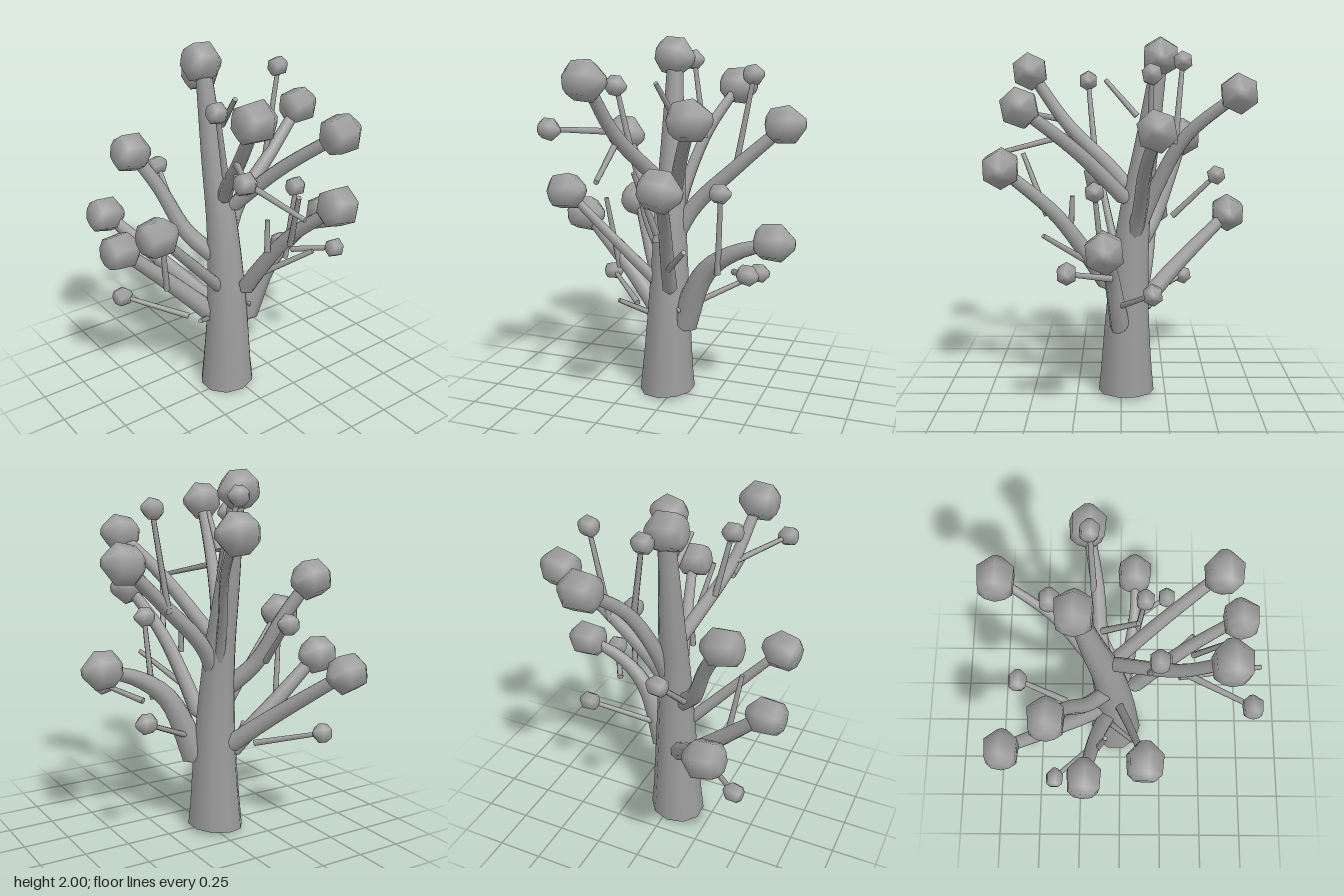
import * as THREE from 'three';

const V = (p) => new THREE.Vector3(...p);
const UP = new THREE.Vector3(0, 1, 0);

// Tapered tube through points. The base can close to a tip, and the section
// can be narrowed sideways (flat < 1).
function limbGeometry(points, r0, r1, { sides = 8, segs = 14, closedBase = true, power = 1, flat = 0.9 } = {}) {
  const curve = new THREE.CatmullRomCurve3(points.map(V));
  const geo = new THREE.TubeGeometry(curve, segs, 1, sides, false);
  const pos = geo.attributes.position;
  const side = V(points[points.length - 1]).sub(V(points[0])).cross(UP).normalize();
  const v = new THREE.Vector3();
  for (let i = 0; i <= segs; i++) {
    const t = i / segs;
    const c = curve.getPointAt(t);
    const r = closedBase && i === 0 ? 0.001 : r0 + (r1 - r0) * Math.pow(t, power);
    for (let j = 0; j <= sides; j++) {
      const k = i * (sides + 1) + j;
      v.fromBufferAttribute(pos, k).sub(c).multiplyScalar(r);
      v.addScaledVector(side, (flat - 1) * v.dot(side)).add(c);
      pos.setXYZ(k, v.x, v.y, v.z);
    }
  }
  return geo;
}

export function createModel() {
  const group = new THREE.Group();
  const bark = new THREE.MeshStandardMaterial({ color: 0xa0a0a0 });
  bark.name = 'grey bark';
  const add = (name, geo) => {
    const m = new THREE.Mesh(geo, bark);
    m.name = name;
    group.add(m);
    return m;
  };

  // Faceted bud: blunt on one side, pointed on the other, axis along x
  const profile = [[0, -0.102], [0.055, -0.102], [0.094, -0.068], [0.102, 0.035], [0.03, 0.105], [0, 0.108]]
    .map(([r, y]) => new THREE.Vector2(r, y));
  const budGeo = new THREE.LatheGeometry(profile, 6).rotateZ(-Math.PI / 2)
    .rotateX(Math.PI / 6).scale(1, 1.04, 1);
  let count = 0;
  const bud = (name, p, scale) => {
    const m = add(name, budGeo);
    m.position.set(...p);
    m.scale.setScalar(scale);
    m.rotation.set(0.1 * (count % 3), 0, 0.15 * ((count % 3) - 1));
    count++;
  };

  // Trunk with a slightly slanted foot
  const trunkGeo = limbGeometry([[-0.037, 0.015, -0.028], [-0.03, 0.5, -0.035], [-0.035, 1, -0.07],
    [-0.045, 1.4, -0.135], [-0.055, 1.88, -0.205]], 0.157, 0.042,
  { sides: 10, segs: 16, closedBase: false, power: 0.82, flat: 1 });
  const tp = trunkGeo.attributes.position;
  for (let j = 0; j <= 10; j++) tp.setY(j, 0.015 + 0.08 * (tp.getX(j) + 0.037));
  add('trunk', trunkGeo);
  const foot = add('trunkFoot', new THREE.CircleGeometry(0.156, 10).rotateX(Math.PI / 2));
  foot.position.set(-0.037, 0.015, -0.028);
  foot.rotation.z = 0.08;
  bud('crownBud', [-0.055, 1.893, -0.21], 1);

  // Main branches: points from trunk to bud, base radius, tip radius, sideways narrowing
  const branches = [
    [[[-0.03, 1.16, -0.06], [-0.1, 1.3, 0.07], [-0.2, 1.52, 0.3], [-0.26, 1.81, 0.51]], 0.045, 0.032],
    [[[-0.01, 1.1, -0.05], [0.13, 1.4, 0.23], [0.275, 1.64, 0.51]], 0.043, 0.032],
    [[[0.01, 0.61, 0.05], [0.04, 0.82, 0.18], [0.09, 1.07, 0.36], [0.17, 1.32, 0.63]], 0.05, 0.032],
    [[[-0.02, 0.93, -0.08], [0.02, 1.2, -0.19], [0.1, 1.48, -0.34], [0.2, 1.71, -0.6]], 0.048, 0.031, 0.6],
    [[[-0.02, 0.88, -0.06], [0.09, 1.08, -0.1], [0.33, 1.32, -0.12], [0.58, 1.55, -0.17]], 0.05, 0.033],
    [[[-0.06, 0.8, -0.06], [-0.2, 0.97, -0.18], [-0.3, 1.22, -0.28], [-0.415, 1.43, -0.36]], 0.052, 0.034],
    [[[-0.08, 0.43, -0.07], [-0.31, 0.675, -0.14], [-0.605, 0.97, -0.19]], 0.058, 0.035],
    [[[-0.07, 0.63, -0.02], [-0.3, 0.88, 0.055], [-0.565, 1.17, 0.13]], 0.036, 0.024, 0.75],
    [[[-0.06, 0.48, -0.09], [-0.22, 0.68, -0.295], [-0.45, 0.97, -0.635]], 0.055, 0.035],
    [[[0.05, 0.38, 0], [0.21, 0.76, 0.055], [0.37, 0.89, 0.08], [0.595, 0.97, 0.08]], 0.085, 0.03, 0.65],
  ];
  branches.forEach(([pts, r0, r1, flat], i) => {
    add('branch' + (i + 1), limbGeometry(pts, r0, r1, { flat }));
    bud('branchBud' + (i + 1), pts[pts.length - 1], 1);
  });

  // Twigs, base then tip: the first list carries small buds, the second is bare
  const buddedTwigs = [
    [[0.31, 1.28, -0.14], [0.405, 1.81, -0.15]],
    [[-0.22, 1.54, 0.31], [-0.4, 1.585, 0.625]],
    [[0.29, 0.77, 0.09], [0.315, 1.22, 0.135]],
    [[-0.19, 1, -0.29], [-0.155, 1.24, -0.53]],
    [[0.37, 0.78, 0.05], [0.505, 0.84, 0.27]],
    [[0.05, 0.52, 0.05], [0.46, 0.72, -0.16]],
    [[-0.25, 0.48, -0.1], [-0.515, 0.57, -0.375]],
    [[-0.17, 1.4, 0.15], [-0.24, 1.76, 0.185]],
    [[0.09, 1.44, -0.285], [0.015, 1.87, -0.325]],
  ];
  const bareTwigs = [
    [[-0.02, 1.58, -0.085], [-0.06, 1.77, 0.085]],
    [[0.01, 0.97, 0.275], [0.015, 1.15, 0.265]],
    [[0.06, 1.05, 0.4], [-0.005, 1.38, 0.53]],
    [[0.05, 0.8, 0.2], [0.21, 0.97, 0.41]],
    [[-0.21, 1.46, 0.29], [-0.12, 1.36, 0.71]],
    [[-0.37, 0.68, -0.13], [-0.425, 1.1, -0.075]],
    [[-0.13, 0.43, -0.08], [-0.29, 0.55, 0.075]],
  ];
  const addTwig = (name, [a, b]) => {
    const dir = V(b).sub(V(a));
    const twig = add(name, new THREE.CylinderGeometry(0.013, 0.018, dir.length(), 7));
    twig.position.copy(V(a)).addScaledVector(dir, 0.5);
    twig.quaternion.setFromUnitVectors(UP, dir.normalize());
  };
  buddedTwigs.forEach((t, i) => {
    addTwig('buddedTwig' + (i + 1), t);
    bud('twigBud' + (i + 1), t[1], 0.52);
  });
  bareTwigs.forEach((t, i) => addTwig('bareTwig' + (i + 1), t));

  return group;
}
